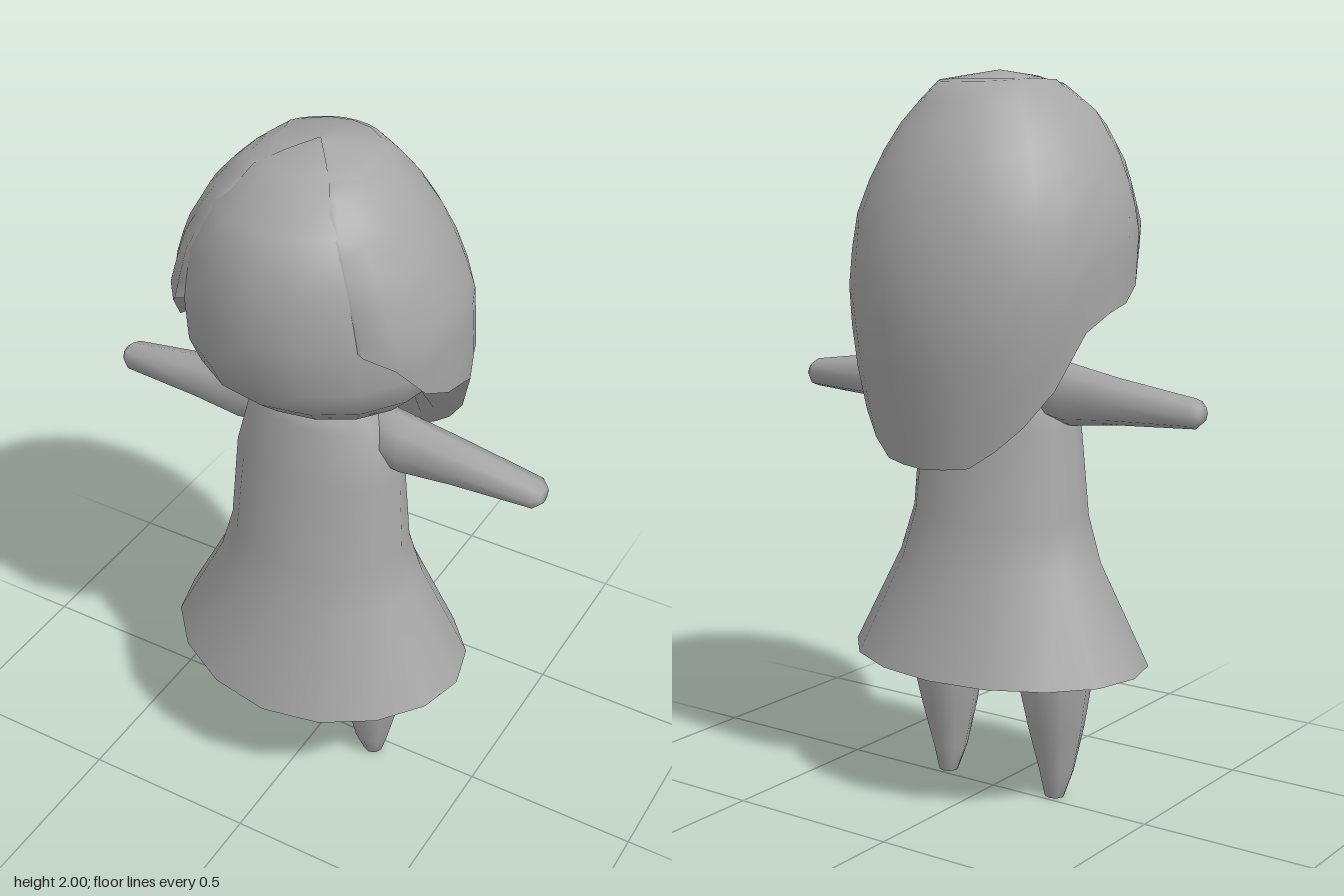
import * as THREE from 'three';

const grey = new THREE.MeshStandardMaterial({ color: 0xa6a6a6, side: THREE.DoubleSide });
grey.name = 'plain grey';

// Skin a stack of rings, listed from top to bottom, with shared smooth normals
function loft(name, rings, { closed = true, capTop = false, capEnd = false } = {}) {
  const n = rings[0].length, pos = [], index = [];
  rings.forEach(r => r.forEach(p => pos.push(...p)));
  for (let r = 0; r < rings.length - 1; r++) {
    for (let i = 0; i < (closed ? n : n - 1); i++) {
      const j = (i + 1) % n;
      const a = r * n + i, c = r * n + j, b = a + n, d = c + n;
      index.push(a, b, c, c, b, d);
    }
  }
  const cap = (start, ring, flip) => {
    const k = pos.length / 3;
    pos.push(...[0, 1, 2].map(q => ring.reduce((s, p) => s + p[q], 0) / n));
    for (let i = 0; i < n; i++) {
      const a = start + i, b = start + (i + 1) % n;
      flip ? index.push(k, b, a) : index.push(k, a, b);
    }
  };
  if (capTop) cap(0, rings[0], false);
  if (capEnd) cap((rings.length - 1) * n, rings[rings.length - 1], true);
  const g = new THREE.BufferGeometry();
  g.setAttribute('position', new THREE.Float32BufferAttribute(pos, 3));
  g.setIndex(index);
  g.computeVertexNormals();
  const mesh = new THREE.Mesh(g, grey);
  mesh.name = name;
  return mesh;
}

// Point on an oval section: half width w, front depth zf, back depth zb
const oval = (y, w, zf, zb, a, cx = 0) =>
  [cx + w * Math.sin(a), y, (zf + zb) / 2 + (zf - zb) / 2 * Math.cos(a)];
const ring = ([y, w, zf, zb], n, cx = 0) =>
  Array.from({ length: n }, (_, i) => oval(y, w, zf, zb, i / n * Math.PI * 2, cx));

// Linear lookup in rows whose first entry descends
function sample(rows, key) {
  let i = 0;
  while (i < rows.length - 2 && key < rows[i + 1][0]) i++;
  const a = rows[i], b = rows[i + 1];
  const t = THREE.MathUtils.clamp((a[0] - key) / (a[0] - b[0]), 0, 1);
  return a.map((v, k) => v + (b[k] - v) * t);
}

// Section rows: y, half width, front z, back z
const headRows = [
  [1.975, 0.15, 0.19, -0.13], [1.88, 0.245, 0.325, -0.21], [1.75, 0.32, 0.38, -0.29],
  [1.6, 0.35, 0.39, -0.33], [1.47, 0.355, 0.37, -0.33], [1.39, 0.335, 0.33, -0.3],
  [1.32, 0.27, 0.25, -0.23], [1.275, 0.14, 0.13, -0.13],
];
const hairRows = [
  [2.0, 0.0, 0.03, 0.03], [1.975, 0.155, 0.2, -0.14], [1.88, 0.255, 0.33, -0.23],
  [1.75, 0.335, 0.385, -0.31], [1.6, 0.39, 0.4, -0.36], [1.4, 0.392, 0.38, -0.388],
  [1.22, 0.37, 0.34, -0.365], [0.97, 0.31, 0.26, -0.32],
];
// Hair hem: angle from the back in degrees, height
const hemRows = [
  [136, 1.6], [125, 1.55], [108, 1.41], [90, 1.385], [76, 1.36], [66, 1.22],
  [45, 1.06], [24, 0.98], [0, 0.97],
];
const dressRows = [
  [1.275, 0.12, 0.14, -0.08], [1.22, 0.2, 0.17, -0.1], [1.05, 0.245, 0.2, -0.135],
  [0.8, 0.26, 0.245, -0.175], [0.67, 0.3, 0.265, -0.205], [0.39, 0.445, 0.365, -0.305],
];
const liningRows = [
  [0.39, 0.445, 0.365, -0.305], [0.45, 0.37, 0.3, -0.25], [0.6, 0.26, 0.22, -0.16],
];
const legRows = [
  [0.58, 0.115, 0.16, -0.1], [0.38, 0.108, 0.16, -0.085], [0.2, 0.08, 0.125, -0.035],
  [0.07, 0.05, 0.095, 0.0], [0, 0.028, 0.065, 0.01],
];
// Arm rows: -reach, half height, front z, back z, height
const armRows = [
  [-0.12, 0.085, 0.08, -0.06, 1.175], [-0.25, 0.085, 0.075, -0.065, 1.15],
  [-0.4, 0.063, 0.065, -0.06, 1.145], [-0.63, 0.04, 0.05, -0.04, 1.135],
  [-0.65, 0.022, 0.03, -0.02, 1.135],
];

function makeHair() {
  const group = new THREE.Group();
  group.name = 'hair';
  // Columns run from one temple round the back to the other
  const cols = Array.from({ length: 23 }, (_, i) => -136 + i * 272 / 22);
  const point = (deg, y, f) => {
    const [, w, zf, zb] = sample(hairRows, y);
    const p = oval(y, w, zf, zb, Math.PI + deg * Math.PI / 180);
    return [p[0] * f, y, p[2] * f];
  };
  const hem = deg => sample(hemRows, Math.abs(deg))[1];
  const rows = 11, shell = [];
  for (let r = 0; r <= rows; r++) {
    const t = Math.pow(r / rows, 1.45);
    const line = cols.map(d => point(d, 2 - (2 - hem(d)) * t, 1));
    // Temple edges fold in towards the face
    const fold = d => point(d * 1.03, 2 - (2 - hem(d)) * t, 1 - 0.16 * t);
    shell.push([fold(cols[0]), ...line, fold(cols[22])]);
  }
  group.add(loft('hairShell', shell, { closed: false }));
  // Underside closes the hanging hair up to the head
  const under = [
    cols.map(d => point(d, hem(d), 1)),
    cols.map(d => point(d, hem(d) + 0.03, 0.86)),
    cols.map(d => point(d, Math.max(hem(d) + 0.03, 1.33), 0.5)),
  ];
  group.add(loft('hairUnderside', under, { closed: false }));
  return group;
}

export function createModel() {
  const model = new THREE.Group();
  model.name = 'figure';

  model.add(loft('head', headRows.map(r => ring(r, 16)), { capTop: true, capEnd: true }));
  model.add(makeHair());

  // Dress with a hem that dips at the front
  const dip = r => {
    r.forEach((p, i) => { p[1] -= 0.04 * Math.max(0, Math.cos(i / 16 * Math.PI * 2)) ** 3; });
    return r;
  };
  const dress = dressRows.map(r => ring(r, 16));
  dip(dress[dress.length - 1]);
  model.add(loft('dress', dress, { capTop: true }));
  const lining = liningRows.map(r => ring(r, 16));
  dip(lining[0]);
  model.add(loft('dressLining', lining, { capEnd: true }));

  // Paired limbs
  for (const s of [1, -1]) {
    const side = s > 0 ? 'left' : 'right';
    model.add(loft(side + 'Leg', legRows.map(r => ring(r, 8, s * 0.185)), { capTop: true, capEnd: true }));
    const arm = loft(side + 'Arm', armRows.map(r => ring(r, 8, s * r[4])), { capTop: true, capEnd: true });
    arm.geometry.rotateZ(s * Math.PI / 2);
    model.add(arm);
  }
  return model;
}
